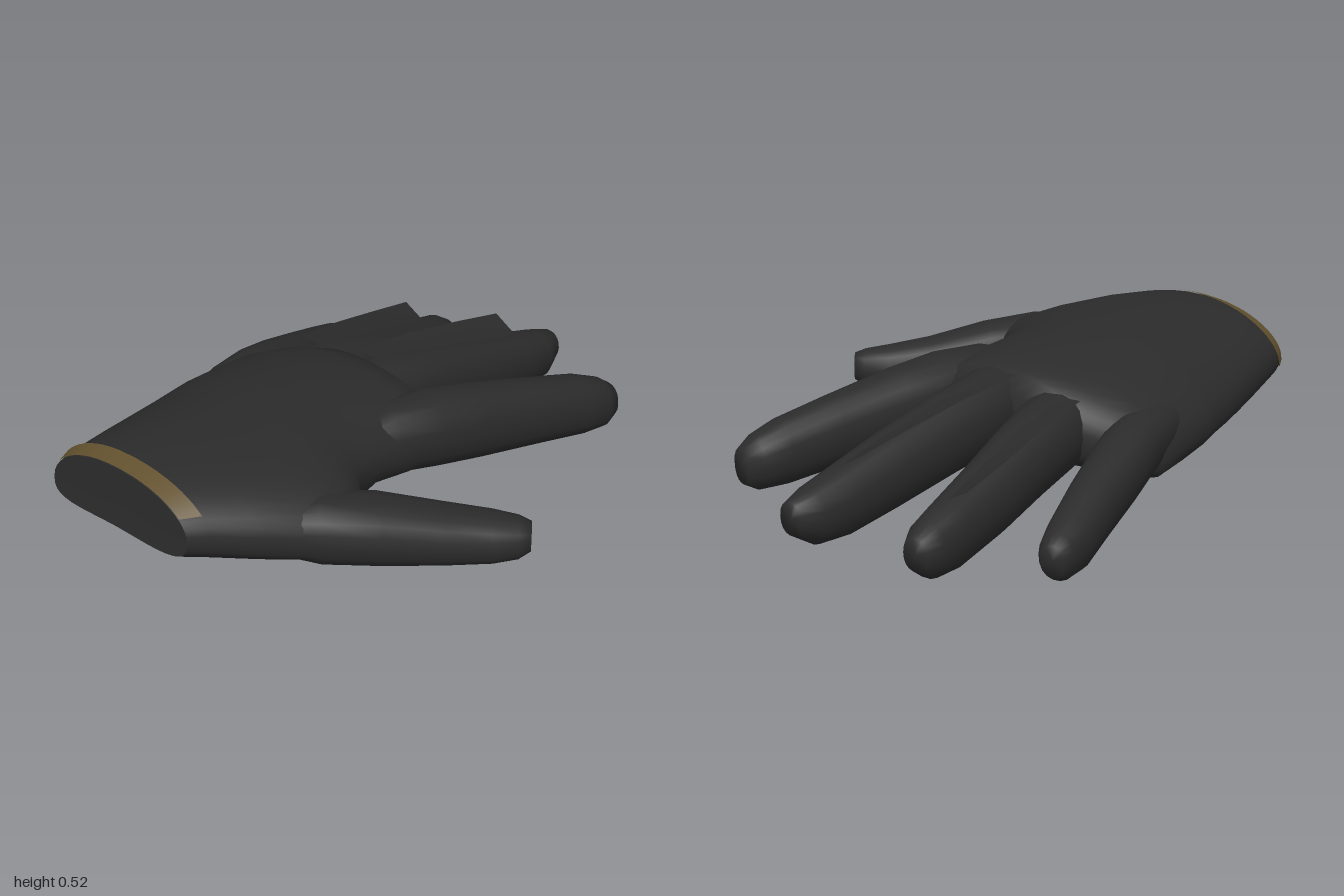
import * as THREE from 'three';

const SIDES = 18;
const power = (v, p) => Math.sign(v) * Math.abs(v) ** p;

function geometry(pos, idx) {
  const g = new THREE.BufferGeometry();
  g.setAttribute('position', new THREE.Float32BufferAttribute(pos, 3));
  g.setIndex(idx);
  g.computeVertexNormals();
  return g;
}

// Skin a list of rings (arrays of Vector3): sharp cap at the start, smooth cap at the end
function loft(rings) {
  const n = rings[0].length, last = (rings.length - 1) * n, pos = [], idx = [];
  const add = (p) => pos.push(p.x, p.y, p.z) / 3 - 1;
  const centre = (ring) => add(ring.reduce((s, p) => s.add(p), new THREE.Vector3()).divideScalar(n));
  rings.forEach((ring) => ring.forEach(add));
  const rim = rings[0].map(add);
  const c0 = centre(rings[0]), c1 = centre(rings[rings.length - 1]);
  for (let j = 0; j < n; j++) {
    const k = (j + 1) % n;
    for (let i = 0; i < last; i += n) {
      idx.push(i + j, i + j + n, i + k, i + k, i + j + n, i + k + n);
    }
    idx.push(c0, rim[j], rim[k], c1, last + k, last + j);
  }
  return geometry(pos, idx);
}

// Open sheet between two rows of points
function strip(rowA, rowB) {
  const pos = [], idx = [];
  rowA.forEach((p, i) => {
    pos.push(...p.toArray(), ...rowB[i].toArray());
    if (i) idx.push(2 * i - 2, 2 * i, 2 * i - 1, 2 * i - 1, 2 * i, 2 * i + 1);
  });
  return geometry(pos, idx);
}

// Finger stations: [x, y, z, half width, half height]
function finger(stations) {
  const pts = stations.map((s) => new THREE.Vector3(s[0], s[1], s[2]));
  return loft(stations.map(([, , , w, h], i) => {
    const t = pts[Math.min(i + 1, pts.length - 1)].clone().sub(pts[Math.max(i - 1, 0)]).setY(0).normalize();
    const side = new THREE.Vector3(-t.z, 0, t.x);
    return Array.from({ length: SIDES }, (_, j) => {
      const a = (j / SIDES) * Math.PI * 2;
      const p = pts[i].clone().addScaledVector(side, w * power(Math.cos(a), 0.9));
      p.y += h * power(Math.sin(a), 0.9);
      return p;
    });
  }));
}

// Point on an arched hand section: [x, z min, z max, mid height, half height]
function handPoint([x, z0, z1, y, h], a, grow = 0) {
  const z = (z0 + z1) / 2 + ((z1 - z0) / 2 + grow) * power(Math.cos(a), 0.75);
  const lift = (h + grow) * power(Math.sin(a), 0.8);
  const slant = x < -0.9 ? lift * 0.12 : 0;
  const arch = z > -0.12 ? 0.32 : 0.48;
  return new THREE.Vector3(x + slant, y - arch * (z + 0.12) ** 2 + lift, z);
}

export function createModel() {
  const group = new THREE.Group();
  const glove = new THREE.MeshStandardMaterial({ color: 0x2b2b2b });
  glove.name = 'charcoal';
  const trim = new THREE.MeshStandardMaterial({ color: 0x62512e });
  trim.name = 'dull gold';
  const add = (name, geo, mat) => {
    const m = new THREE.Mesh(geo, mat);
    m.name = name;
    group.add(m);
  };

  // Hand body, from cuff to knuckles, widening into the thumb base
  const hand = [
    [-0.985, -0.51, 0.14, 0.395, 0.105],
    [-0.93, -0.53, 0.18, 0.395, 0.115],
    [-0.78, -0.56, 0.285, 0.382, 0.137],
    [-0.6, -0.6, 0.41, 0.375, 0.142],
    [-0.5, -0.62, 0.43, 0.372, 0.143],
    [-0.41, -0.635, 0.34, 0.37, 0.144],
    [-0.35, -0.645, 0.265, 0.366, 0.145],
    [-0.22, -0.655, 0.235, 0.354, 0.148],
    [-0.08, -0.66, 0.25, 0.338, 0.15],
    [0.02, -0.58, 0.25, 0.325, 0.145],
    [0.09, -0.46, 0.24, 0.315, 0.135],
    [0.14, -0.4, 0.2, 0.305, 0.09],
  ];
  const angles = Array.from({ length: 36 }, (_, j) => (j / 36) * Math.PI * 2);
  add('hand', loft(hand.map((s) => angles.map((a) => handPoint(s, a)))), glove);

  // Fingers and thumb
  const fingers = {
    thumb: [
      [-0.72, 0.32, 0.2, 0.06, 0.07], [-0.58, 0.31, 0.305, 0.115, 0.115],
      [-0.43, 0.285, 0.42, 0.125, 0.115], [-0.27, 0.25, 0.56, 0.107, 0.098],
      [-0.16, 0.235, 0.67, 0.09, 0.085], [-0.105, 0.235, 0.735, 0.07, 0.07],
      [-0.08, 0.24, 0.765, 0.045, 0.05],
    ],
    indexFinger: [
      [-0.25, 0.32, 0.09, 0.07, 0.08], [-0.08, 0.325, 0.13, 0.11, 0.122],
      [0.08, 0.312, 0.172, 0.125, 0.137],
      [0.25, 0.285, 0.225, 0.117, 0.135], [0.5, 0.24, 0.3, 0.102, 0.122],
      [0.68, 0.205, 0.352, 0.094, 0.112], [0.77, 0.185, 0.378, 0.078, 0.094],
      [0.818, 0.18, 0.39, 0.052, 0.062],
    ],
    middleFinger: [
      [-0.1, 0.33, -0.08, 0.1, 0.1], [0.12, 0.315, -0.08, 0.124, 0.135],
      [0.35, 0.27, -0.068, 0.115, 0.132], [0.6, 0.212, -0.055, 0.105, 0.124],
      [0.8, 0.165, -0.045, 0.096, 0.112], [0.92, 0.148, -0.037, 0.082, 0.094],
      [0.997, 0.158, -0.035, 0.05, 0.056],
    ],
    ringFinger: [
      [-0.1, 0.29, -0.32, 0.1, 0.1], [0.1, 0.275, -0.33, 0.128, 0.135],
      [0.3, 0.227, -0.36, 0.113, 0.132], [0.5, 0.17, -0.39, 0.102, 0.124],
      [0.7, 0.12, -0.415, 0.088, 0.112], [0.81, 0.105, -0.43, 0.075, 0.092],
      [0.862, 0.105, -0.435, 0.048, 0.055],
    ],
    littleFinger: [
      [-0.35, 0.275, -0.53, 0.06, 0.06], [-0.17, 0.265, -0.55, 0.09, 0.095],
      [-0.03, 0.247, -0.57, 0.1, 0.108],
      [0.12, 0.203, -0.61, 0.097, 0.11], [0.3, 0.145, -0.655, 0.087, 0.107],
      [0.46, 0.095, -0.702, 0.08, 0.094], [0.545, 0.08, -0.725, 0.062, 0.077],
      [0.58, 0.08, -0.735, 0.04, 0.05],
    ],
  };
  for (const [name, stations] of Object.entries(fingers)) add(name, finger(stations), glove);

  // Skin crest rising along the outer edge of two fingers
  for (const name of ['middleFinger', 'ringFinger']) {
    const spine = fingers[name].slice(1, 5);
    const root = spine.map(([x, y, z, , h]) => new THREE.Vector3(x, y + 0.96 * h, z + 0.01));
    const edge = spine.map(([x, y, z, w, h]) => new THREE.Vector3(x, y + h + 0.075 * (x - 0.1), z - 0.95 * w));
    add(name + 'Crest', strip(root, edge), glove);
  }

  // Trim strip over the top of the cuff
  const arc = Array.from({ length: 25 }, (_, i) => Math.PI * (0.19 + (0.82 * i) / 24));
  add('cuffTrim', strip(
    arc.map((a) => handPoint(hand[1], a, 0.012)),
    arc.map((a) => handPoint(hand[0], a, 0.004)),
  ), trim);

  return group;
}
